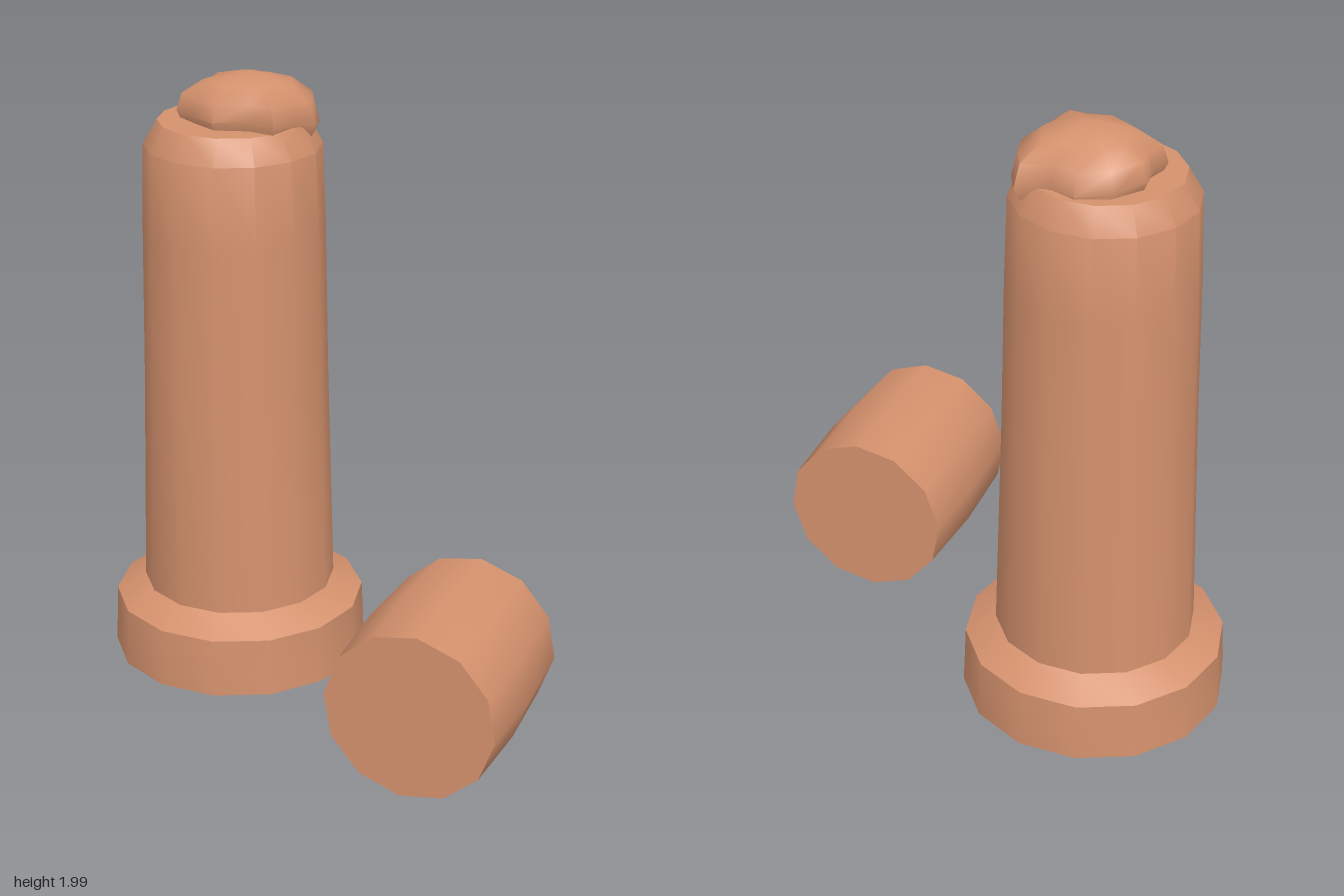
import * as THREE from 'three';
import { toCreasedNormals } from 'three/addons/utils/BufferGeometryUtils.js';

// Faceted solid of revolution from [radius, height] pairs, bottom to top
function turned(profile, sides, phase) {
  const points = profile.map(([r, y]) => new THREE.Vector2(r, y));
  return toCreasedNormals(new THREE.LatheGeometry(points, sides, phase), 0.6);
}

// Irregular cap: one outline [x, z, rim height] shrunk ring by ring to an apex
function lump(outline, centre) {
  const n = outline.length;
  const [cx, cz] = centre;
  const positions = [], index = [];
  positions.push(cx, 1.84, cz);
  // [scale, height, how much the rim height carries upward]
  const rings = [[0.93, 1.83, 1], [1, 1.865, 0.9], [0.92, 1.925, 0.4], [0.62, 1.972, 0.15], [0.3, 1.99, 0]];
  rings.forEach(([s, y, carry]) => outline.forEach(([x, z, rim]) =>
    positions.push(cx + (x - cx) * s, y + (rim - 1.83) * carry, cz + (z - cz) * s)));
  const apex = positions.length / 3;
  positions.push(cx, 2, cz);
  for (let i = 0; i < n; i++) {
    const j = (i + 1) % n;
    index.push(0, 1 + j, 1 + i);
    for (let k = 0; k < rings.length - 1; k++) {
      const a = 1 + k * n + i, b = 1 + k * n + j;
      index.push(a, b, b + n, a, b + n, a + n);
    }
    const last = 1 + (rings.length - 1) * n;
    index.push(last + i, last + j, apex);
  }
  const geo = new THREE.BufferGeometry();
  geo.setAttribute('position', new THREE.Float32BufferAttribute(positions, 3));
  geo.setIndex(index);
  return toCreasedNormals(geo, 0.9);
}

export function createModel() {
  const model = new THREE.Group();
  const clay = new THREE.MeshStandardMaterial({ color: 0xd4916d });
  clay.name = 'terracotta';
  const add = (name, geo, x = 0, y = 0, z = 0) => {
    const mesh = new THREE.Mesh(geo, clay);
    mesh.name = name;
    mesh.position.set(x, y, z);
    model.add(mesh);
    return mesh;
  };

  // Standing column with a wide foot and bevelled top
  const column = [
    [0, 0.02], [0.423, 0.02], [0.415, 0.215], [0.318, 0.27],
    [0.3, 1.0], [0.292, 1.5], [0.284, 1.77], [0.238, 1.85], [0, 1.85],
  ];
  add('column', turned(column, 14, Math.PI / 2), -0.384, 0, -0.16);

  // Rough lump on the column, drooping over its left rim
  const outline = [
    [-0.12, -0.2, 1.8], [-0.16, -0.12, 1.83], [-0.18, -0.02, 1.84], [-0.27, -0.03, 1.85],
    [-0.38, 0.0, 1.84], [-0.47, -0.05, 1.84], [-0.55, -0.1, 1.84], [-0.53, -0.17, 1.84],
    [-0.54, -0.25, 1.84], [-0.47, -0.34, 1.83], [-0.37, -0.38, 1.82], [-0.29, -0.35, 1.82],
    [-0.18, -0.36, 1.8], [-0.14, -0.28, 1.8],
  ];
  // Listed clockwise from above, so reverse for outward faces
  const turn = outline.reduce((sum, [x, z], i) => {
    const [u, w] = outline[(i + 1) % outline.length];
    return sum + x * w - u * z;
  }, 0);
  if (turn > 0) outline.reverse();
  add('lump', lump(outline, [-0.34, -0.18]));

  // Short barrel lying on its side
  const barrel = [[0, -0.283], [0.275, -0.283], [0.287, 0], [0.275, 0.283], [0, 0.283]];
  const lying = add('barrel', turned(barrel, 12, 0), 0.515, 0.296, 0.293);
  lying.rotation.set(Math.PI / 2, 0, 0);
  lying.rotateY(THREE.MathUtils.degToRad(-5));

  return model;
}
